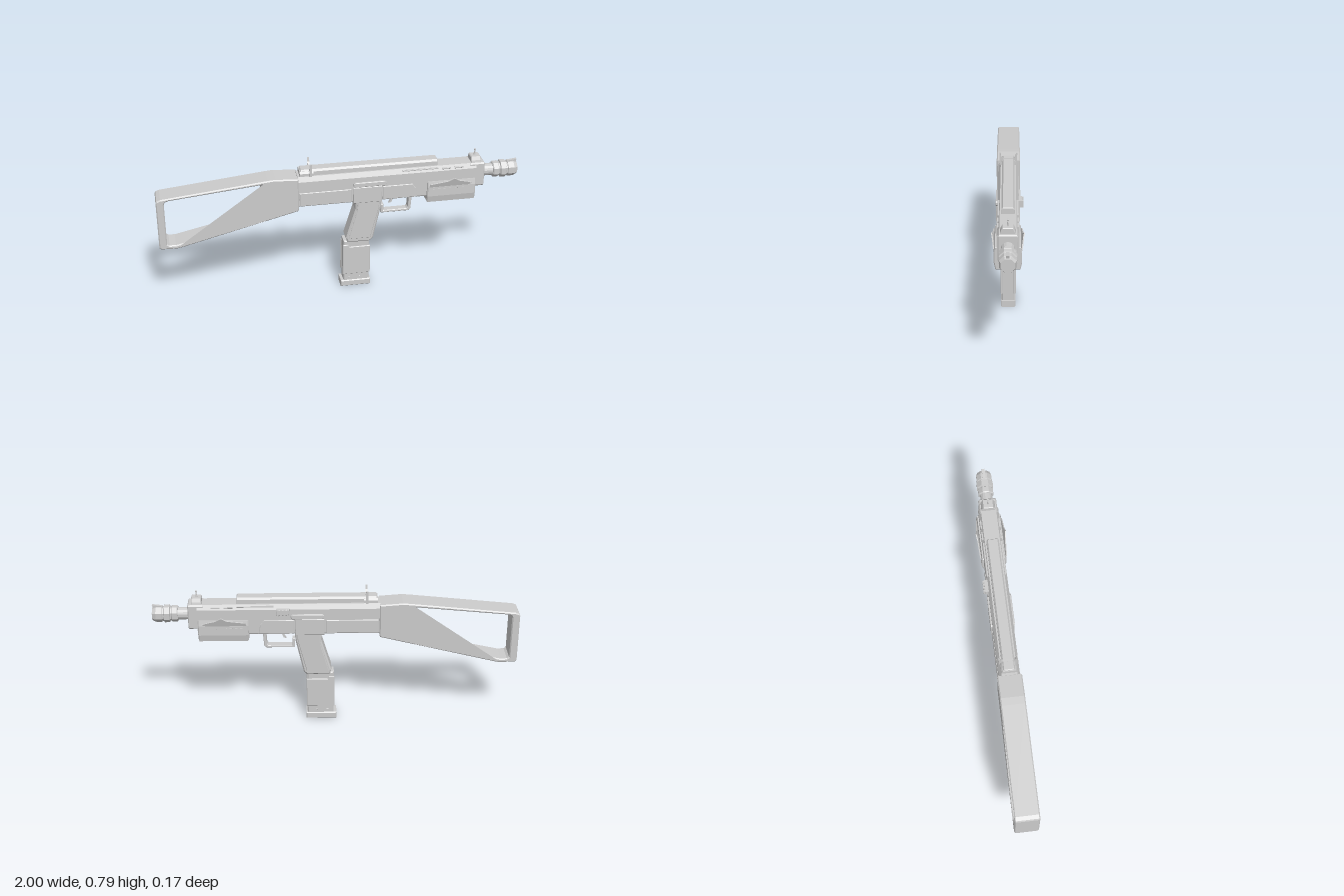
import * as THREE from 'three';

const steel = new THREE.MeshStandardMaterial({ color: 0xcccccc });
steel.name = 'light grey';

const toShape = (pts) => new THREE.Shape(pts.map(([a, b]) => new THREE.Vector2(a, b)));

export function createModel() {
  const model = new THREE.Group();
  model.name = 'submachineGun';

  const add = (name, geometry) => {
    const mesh = new THREE.Mesh(geometry, steel);
    mesh.name = name;
    model.add(mesh);
    return mesh;
  };
  const flat = (geometry) => {
    const g = geometry.index ? geometry.toNonIndexed() : geometry;
    g.computeVertexNormals();
    return g;
  };
  // Chamfered extrusion; the outline stays at its drawn size
  const extrude = (shape, depth, b) => new THREE.ExtrudeGeometry(shape, {
    depth: depth - 2 * b, bevelEnabled: b > 0, bevelThickness: b, bevelSize: b,
    bevelOffset: -b, bevelSegments: 1, curveSegments: 4,
  }).translate(0, 0, b);
  // Side outline in x, y spread from z0 to z1
  const side = (name, pts, z0, z1, b = 0, hole) => {
    const shape = toShape(pts);
    if (hole) shape.holes.push(new THREE.Path(hole.map(([x, y]) => new THREE.Vector2(x, y))));
    return add(name, extrude(shape, z1 - z0, b).translate(0, 0, z0));
  };
  // Half cross-section in z, y (bottom to top), mirrored and run from x0 to x1
  const along = (name, half, x0, x1, b = 0) => {
    const pts = [...half, ...half.map(([z, y]) => [-z, y]).reverse()];
    return add(name, extrude(toShape(pts), x1 - x0, b).rotateY(Math.PI / 2).translate(x0, 0, 0));
  };
  const box = (name, x0, x1, y0, y1, z0, z1) =>
    add(name, new THREE.BoxGeometry(x1 - x0, y1 - y0, z1 - z0)
      .translate((x0 + x1) / 2, (y0 + y1) / 2, (z0 + z1) / 2));
  const rect = (x0, x1, y0, y1) => [[x0, y0], [x1, y0], [x1, y1], [x0, y1]];
  // Plate standing out from both flanks
  const flanks = (name, pts, inner, outer, b = 0.003) => {
    side(name + 'Left', pts, inner, outer, b);
    side(name + 'Right', pts, -outer, -inner, b);
  };

  // Skeleton stock
  side('stock', [
    [-1, 0.372], [-0.99, 0.363], [-0.905, 0.36], [-0.875, 0.366], [-0.24, 0.525], [-0.235, 0.535],
    [-0.235, 0.718], [-0.36, 0.727], [-0.4, 0.724], [-0.975, 0.664], [-0.995, 0.656], [-1, 0.645],
  ], -0.066, 0.066, 0.006, [
    [-0.957, 0.392], [-0.945, 0.384], [-0.91, 0.382], [-0.43, 0.488],
    [-0.43, 0.703], [-0.93, 0.654], [-0.95, 0.648], [-0.957, 0.635],
  ]);

  // Receiver, with chamfered top edges
  along('receiver', [[0.052, 0.547], [0.056, 0.555], [0.056, 0.695], [0.042, 0.722]], -0.238, 0.755);
  along('topRail', [[0.034, 0.715], [0.034, 0.745], [0.026, 0.756]], -0.22, 0.54, 0.004);
  along('railRearBlock', [[0.042, 0.715], [0.042, 0.738], [0.034, 0.748]], -0.225, -0.15);

  // Panels on the flanks
  flanks('rearPanel', [[-0.23, 0.551], [0.055, 0.551], [0.055, 0.63], [-0.23, 0.63]], 0.05, 0.06);
  flanks('middlePanel', [[0.065, 0.543], [0.225, 0.543], [0.225, 0.638], [0.065, 0.638]], 0.05, 0.064);
  flanks('frontPanel', [[0.23, 0.551], [0.425, 0.551], [0.415, 0.605], [0.395, 0.632], [0.23, 0.632]], 0.05, 0.06);
  flanks('selectorBar', [
    [0.075, 0.64], [0.24, 0.64], [0.248, 0.647], [0.248, 0.66], [0.24, 0.667], [0.075, 0.667],
    [0.067, 0.66], [0.067, 0.647],
  ], 0.05, 0.066);
  flanks('upperStrip', rect(0.34, 0.54, 0.708, 0.715), 0.04, 0.054, 0.001);
  for (const x of [0.56, 0.63]) flanks('ventStrip', rect(x, x + 0.05, 0.703, 0.711), 0.04, 0.055, 0.001);

  // Ribbed cocking handle on the right flank
  side('cockingHandle', rect(0.255, 0.325, 0.666, 0.702), -0.074, -0.05, 0.003);
  for (let i = 0; i < 4; i++) {
    const x = 0.258 + i * 0.018;
    box('handleRib', x, x + 0.01, 0.666, 0.702, -0.081, -0.07);
  }

  // Handguard with a pointed fin on each flank
  along('handguard', [[0.062, 0.512], [0.07, 0.55], [0.07, 0.605], [0.064, 0.636]], 0.478, 0.752, 0.005);
  for (const s of [1, -1]) {
    const fin = side(s > 0 ? 'finLeft' : 'finRight', [
      [-0.12, -0.012], [0.085, -0.012], [0.125, 0.006], [0.1, 0.016], [0.05, 0.03], [0.02, 0.05], [-0.01, 0.03], [-0.11, 0.014],
    ], -0.003, 0.003);
    fin.position.set(0.605, 0.61, s * 0.068);
    fin.rotation.x = s * 0.3;
    for (let i = 0; i < 7; i++) {
      const x = 0.51 + i * 0.028;
      box('guardNotch', x, x + 0.014, 0.588, 0.594, s * 0.0705 - 0.002, s * 0.0705 + 0.002);
    }
  }

  // Front block, barrel and octagonal muzzle
  along('frontBlock', [[0.044, 0.58], [0.05, 0.588], [0.05, 0.714], [0.044, 0.722]], 0.718, 0.805, 0.005);
  const axis = (name, profile, sides) => add(name, flat(new THREE.LatheGeometry(
    profile.map(([r, x]) => new THREE.Vector2(r, x)), sides, Math.PI / sides)
    .rotateZ(-Math.PI / 2).translate(0, 0.654, 0)));
  axis('barrel', [[0, 0.79], [0.034, 0.79], [0.034, 0.87], [0, 0.87]], 16);
  axis('muzzle', [
    [0, 0.86], [0.04, 0.86], [0.045, 0.865], [0.045, 0.892], [0.04, 0.896], [0.04, 0.902], [0.049, 0.905],
    [0.049, 0.935], [0.041, 0.938], [0.041, 0.944], [0.046, 0.947], [0.046, 0.98], [0.037, 1], [0, 1],
  ], 8);
  side('muzzleNub', [[0.94, 0.69], [0.995, 0.69], [1, 0.707], [0.945, 0.7]], -0.008, 0.008);

  // Front sight: tapered base, post and bead
  along('frontSightBase', [[0.04, 0.718], [0.036, 0.733], [0.026, 0.752]], 0.73, 0.785, 0.004);
  add('sightPost', flat(new THREE.CylinderGeometry(0.002, 0.006, 0.035, 8).translate(0.757, 0.766, 0)));
  add('sightBead', new THREE.SphereGeometry(0.0055, 10, 8).translate(0.757, 0.784, 0));

  // Rear sight: U-shaped leaf with two ears
  along('rearSight', [[0.048, 0.72], [0.05, 0.792], [0.044, 0.792], [0.04, 0.77], [0.028, 0.757]], -0.172, -0.16);

  // Raked grip with raised side faces
  side('grip', [
    [0.085, 0.55], [0.08, 0.49], [0.028, 0.315], [0.036, 0.287], [0.165, 0.287], [0.182, 0.305],
    [0.225, 0.5], [0.228, 0.55],
  ], -0.046, 0.046, 0.008);
  flanks('gripFace', [
    [0.095, 0.545], [0.088, 0.48], [0.042, 0.312], [0.165, 0.312], [0.212, 0.5], [0.215, 0.545],
  ], 0.04, 0.05);

  // Magazine
  side('magazine', rect(0.016, 0.163, 0.03, 0.295), -0.036, 0.036, 0.006);
  flanks('magazinePlate', [
    [0.01, 0.08], [0.167, 0.08], [0.167, 0.256], [0.05, 0.256], [0.042, 0.27], [0.012, 0.27],
  ], 0.03, 0.042);
  side('magazineBase', rect(0, 0.17, 0, 0.038), -0.041, 0.041, 0.005);
  for (const x of [0.045, 0.105]) flanks('magazineStud', rect(x, x + 0.012, 0.052, 0.062), 0.03, 0.038, 0.001);

  // Trigger guard and curved trigger
  side('triggerGuard', [
    [0.228, 0.447], [0.385, 0.447], [0.398, 0.458], [0.405, 0.555], [0.388, 0.555], [0.382, 0.468],
    [0.375, 0.461], [0.243, 0.461], [0.243, 0.5], [0.228, 0.5],
  ], -0.021, 0.021, 0.003);
  side('trigger', [
    [0.28, 0.55], [0.288, 0.52], [0.276, 0.498], [0.29, 0.503], [0.3, 0.525], [0.302, 0.55],
  ], -0.008, 0.008);

  return model;
}
